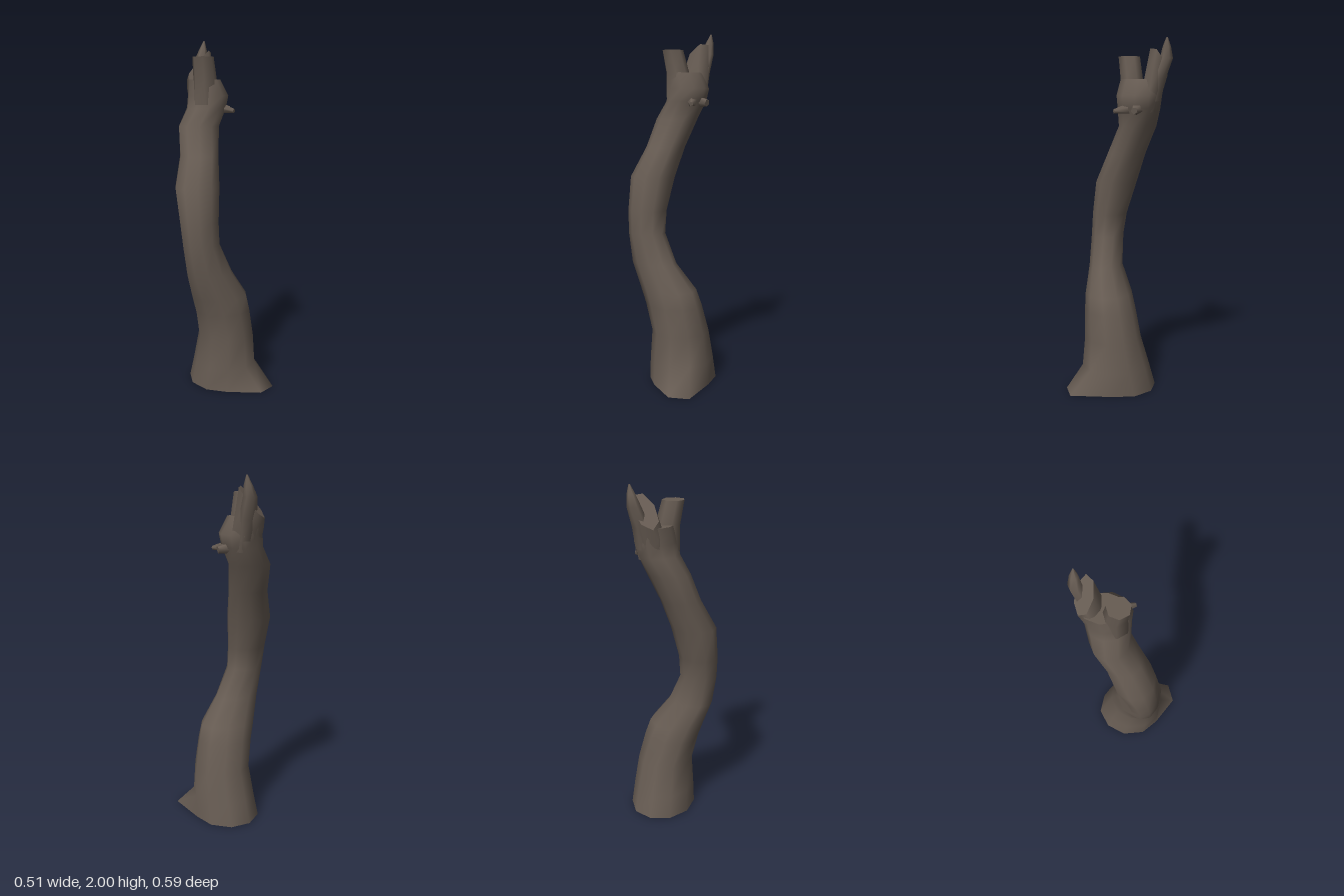
import * as THREE from 'three';

const bark = new THREE.MeshStandardMaterial({ color: 0x675c53 });
bark.name = 'bark';

// Ring of points filling the box x0..x1, z0..z1 at height y (a number or a rule of x and z)
function ring([y, x0, x1, z0, z1], sides, turn) {
  const points = [];
  for (let i = 0; i < sides; i++) {
    const a = turn + (i / sides) * Math.PI * 2;
    const x = (x0 + x1) / 2 + Math.cos(a) * (x1 - x0) * 0.51;
    const z = (z0 + z1) / 2 + Math.sin(a) * (z1 - z0) * 0.51;
    points.push(new THREE.Vector3(x, typeof y === 'function' ? y(x, z) : y, z));
  }
  return points;
}

// Smooth skin through the rings, closed by flat caps
function loft(name, rings) {
  const n = rings[0].length;
  const group = new THREE.Group();
  group.name = name;
  const add = (part, points, index) => {
    const geometry = new THREE.BufferGeometry().setFromPoints(points);
    geometry.setIndex(index);
    geometry.computeVertexNormals();
    const mesh = new THREE.Mesh(geometry, bark);
    mesh.name = part;
    group.add(mesh);
  };
  const index = [];
  for (let j = 0; j < rings.length - 1; j++) {
    for (let i = 0; i < n; i++) {
      const a = j * n + i, b = j * n + (i + 1) % n;
      index.push(a, a + n, b, b, a + n, b + n);
    }
  }
  add(name + 'Skin', rings.flat(), index);
  const cap = (part, points, up) => {
    const centre = new THREE.Vector3();
    points.forEach(p => centre.addScaledVector(p, 1 / n));
    const fan = [];
    for (let i = 0; i < n; i++) {
      const k = (i + 1) % n;
      fan.push(n, up ? k : i, up ? i : k);
    }
    add(part, [...points, centre], fan);
  };
  cap(name + 'Bottom', rings[0], false);
  cap(name + 'Top', rings[rings.length - 1], true);
  return group;
}

// Short broken twig between two points
function twig(name, from, to, r0, r1) {
  const a = new THREE.Vector3(...from), b = new THREE.Vector3(...to);
  const dir = b.clone().sub(a);
  const mesh = new THREE.Mesh(new THREE.CylinderGeometry(r1, r0, dir.length(), 5), bark);
  mesh.name = name;
  mesh.position.copy(a).add(b).multiplyScalar(0.5);
  mesh.quaternion.setFromUnitVectors(new THREE.Vector3(0, 1, 0), dir.normalize());
  return mesh;
}

export function createModel() {
  const model = new THREE.Group();
  model.name = 'deadTree';

  // Bent trunk: height, x range, z range
  const trunk = [
    [0, -0.13, 0.24, -0.21, 0.205],
    [0.13, -0.115, 0.235, -0.175, 0.21],
    [0.3, -0.1, 0.222, -0.125, 0.195],
    [0.46, -0.135, 0.19, -0.09, 0.2],
    [0.55, -0.165, 0.165, -0.065, 0.2],
    [0.7, -0.215, 0.055, 0, 0.19],
    [0.87, -0.24, -0.025, 0, 0.185],
    [1.0, -0.25, -0.025, -0.02, 0.178],
    [1.19, -0.255, 0, -0.08, 0.155],
    [1.36, -0.19, 0.03, -0.135, 0.08],
    [1.52, -0.165, 0.075, -0.2, 0.01],
    [1.62, -0.1, 0.12, -0.225, 0.01],
    [1.69, -0.09, 0.135, -0.235, 0.015],
    [1.78, -0.08, 0.085, -0.245, -0.005],
  ].map(s => ring(s, 10, THREE.MathUtils.degToRad(6)));
  // Root flare pulled out of the base ring
  trunk[0][1].set(0.255, 0, 0.255);
  trunk[0][2].set(0.145, 0, 0.297);
  model.add(loft('trunk', trunk));

  // Sawn front fork
  model.add(loft('frontFork', [
    [1.64, -0.09, 0.06, -0.13, 0.005],
    [1.78, -0.09, 0.045, -0.125, 0],
    [1.905, -0.105, 0.015, -0.105, 0.015],
  ].map(s => ring(s, 7, 0.3))));

  // Back fork with a slanting break
  const slant = (x, z) => 2.06 + 0.9 * x + z;
  model.add(loft('backFork', [
    [1.6, -0.06, 0.1, -0.215, -0.08],
    [1.72, -0.07, 0.11, -0.24, -0.12],
    [slant, -0.055, 0.095, -0.265, -0.165],
  ].map(s => ring(s, 7, 0.1))));

  // Pointed splinter behind the break
  model.add(loft('splinter', [
    [1.66, 0, 0.09, -0.23, -0.16],
    [1.78, -0.005, 0.095, -0.255, -0.18],
    [1.89, 0.02, 0.096, -0.295, -0.225],
    [1.95, 0.05, 0.095, -0.285, -0.24],
    [2.0, 0.077, 0.085, -0.268, -0.26],
  ].map(s => ring(s, 6, 0.5))));

  // Broken twigs below the fork
  model.add(twig('frontTwig', [0.07, 1.62, -0.07], [0.12, 1.605, 0.02], 0.035, 0.012));
  model.add(twig('sideTwig', [0.09, 1.62, -0.11], [0.155, 1.61, -0.095], 0.035, 0.02));
  return model;
}
